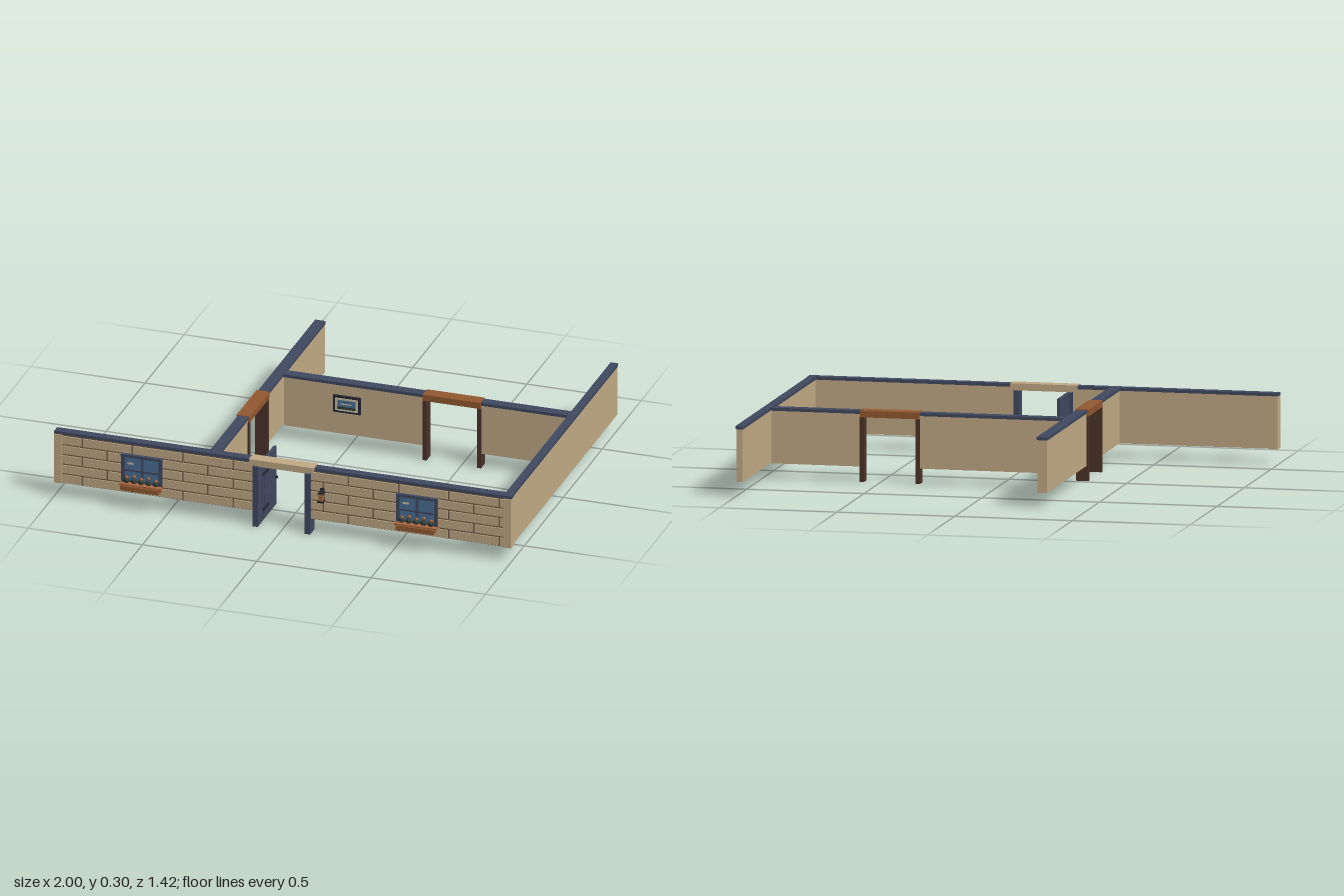
import * as THREE from 'three';

const mat = (name, color) => {
  const m = new THREE.MeshStandardMaterial({ color });
  m.name = name;
  return m;
};

export function createModel() {
  const root = new THREE.Group();
  root.name = 'houseWalls';
  const stone = mat('sandstone', 0xc2ab86);
  const mortar = mat('mortar', 0x75624c);
  const navy = mat('navyPaint', 0x414961);
  const wood = mat('warmWood', 0x93592f);
  const darkWood = mat('darkWood', 0x4c3329);
  const glass = mat('glass', 0x4a7196);
  const pale = mat('paleGlint', 0xc9c3a8);
  const iron = mat('iron', 0x25262e);
  const leaf = mat('foliage', 0x343d3a);
  const clay = mat('clay', 0xa8683f);

  // Box given by its limits on each axis
  const box = (name, m, x0, x1, y0, y1, z0, z1, parent = root) => {
    const mesh = new THREE.Mesh(new THREE.BoxGeometry(x1 - x0, y1 - y0, z1 - z0), m);
    mesh.position.set((x0 + x1) / 2, (y0 + y1) / 2, (z0 + z1) / 2);
    mesh.name = name;
    parent.add(mesh);
    return mesh;
  };
  const LOW = 0.064, TOP = 0.285, CAP = 0.298;

  // Plain wall with a painted coping
  const wall = (name, x0, x1, z0, z1) => {
    const g = new THREE.Group();
    g.name = name;
    root.add(g);
    box('wallBody', stone, x0 + 0.003, x1 - 0.003, LOW, TOP, z0 + 0.003, z1 - 0.003, g);
    box('coping', navy, x0, x1, TOP, CAP, z0, z1, g);
  };
  wall('rightSideWall', 0.965, 0.998, -0.712, 0.63);
  wall('innerWallBack', -0.328, -0.282, -0.712, 0.03);
  wall('innerWallFront', -0.328, -0.282, 0.272, 0.63);
  wall('crossWallLeft', -0.282, 0.338, -0.206, -0.162);
  wall('crossWallRight', 0.578, 0.965, -0.206, -0.162);
  wall('frontWallLeft', -1, -0.125, 0.628, 0.666);
  wall('frontWallRight', 0.12, 1, 0.628, 0.666);

  // Masonry facing: mortar plate with staggered raised blocks
  const masonry = (name, x0, x1, start) => {
    const g = new THREE.Group();
    g.name = name;
    root.add(g);
    box('mortarPlate', mortar, x0, x1, LOW + 0.001, TOP, 0.662, 0.6655, g);
    const rows = 5, h = (TOP - LOW) / rows, len = 0.22, gap = 0.004;
    for (let r = 0; r < rows; r++) {
      const shift = r % 2 ? len / 2 : 0;
      for (let x = start - len * 2 + shift; x < x1; x += len) {
        const a = Math.max(x0, x + gap), b = Math.min(x1, x + len - gap);
        if (b - a < 0.01) continue;
        const y = TOP - (r + 1) * h;
        box('stoneBlock', stone, a, b, y + gap, y + h - gap, 0.664, 0.67, g);
      }
    }
  };
  masonry('leftMasonry', -0.964, -0.126, -0.877);
  masonry('rightMasonry', 0.122, 0.964, 0.287);
  box('leftCornerPost', stone, -1, -0.966, LOW, TOP, 0.618, 0.672);
  box('rightCornerPost', stone, 0.966, 1, LOW, TOP, 0.626, 0.672);

  // Timber-framed inner openings
  const jambs = new THREE.Group();
  jambs.name = 'innerDoorFrames';
  root.add(jambs);
  box('crossHeader', wood, 0.332, 0.584, 0.272, 0.3, -0.212, -0.156, jambs);
  for (const x of [0.33, 0.568]) box('crossJamb', darkWood, x, x + 0.018, 0, 0.272, -0.209, -0.159, jambs);
  box('sideHeader', wood, -0.334, -0.277, 0.272, 0.3, 0.022, 0.278, jambs);
  for (const z of [0.025, 0.263]) box('sideJamb', darkWood, -0.333, -0.279, 0, 0.272, z, z + 0.018, jambs);

  // Front entrance: posts, lintel with bevelled ends
  for (const x of [-0.128, 0.101]) box('entrancePost', navy, x, x + 0.024, 0, 0.274, 0.627, 0.682);
  const lintelShape = new THREE.Shape([
    [-0.125, 0.272], [0.119, 0.272], [0.138, 0.286], [0.138, 0.301], [-0.146, 0.301], [-0.146, 0.286],
  ].map(p => new THREE.Vector2(...p)));
  const lintel = new THREE.Mesh(new THREE.ExtrudeGeometry(lintelShape, { depth: 0.052, bevelEnabled: false }), stone);
  lintel.position.z = 0.622;
  lintel.name = 'entranceLintel';
  root.add(lintel);

  // Door standing open into the room
  const door = new THREE.Group();
  door.name = 'openDoor';
  root.add(door);
  box('doorLeaf', navy, -0.113, -0.101, 0.005, 0.27, 0.45, 0.63, door);
  for (const [a, b] of [[0.03, 0.12], [0.145, 0.245]])
    for (const x of [-0.115, -0.101]) box('doorPanel', navy, x, x + 0.002, a, b, 0.468, 0.612, door);
  for (const y of [0.05, 0.21]) box('hinge', iron, -0.1, -0.096, y, y + 0.012, 0.56, 0.628, door);
  box('doorHandle', iron, -0.12, -0.092, 0.128, 0.138, 0.458, 0.466, door);

  // Windows with flower boxes
  const windowUnit = (cx) => {
    const g = new THREE.Group();
    g.name = 'windowUnit';
    g.position.set(cx, 0, 0);
    root.add(g);
    box('windowBacking', navy, -0.084, 0.084, 0.114, 0.238, 0.664, 0.673, g);
    for (const s of [-1, 1]) {
      box('stile', navy, s * 0.083 - 0.007, s * 0.083 + 0.007, 0.112, 0.243, 0.664, 0.68, g);
      for (const [a, b] of [[0.126, 0.168], [0.176, 0.23]])
        box('pane', glass, s * 0.04 - 0.033, s * 0.04 + 0.033, a, b, 0.67, 0.675, g);
    }
    box('mullion', navy, -0.005, 0.005, 0.114, 0.238, 0.664, 0.679, g);
    box('headRail', navy, -0.09, 0.09, 0.231, 0.243, 0.664, 0.681, g);
    box('midRail', navy, -0.08, 0.08, 0.168, 0.176, 0.664, 0.678, g);
    box('glint', pale, -0.062, -0.035, 0.199, 0.207, 0.674, 0.6765, g);
    box('flowerBox', wood, -0.084, 0.084, 0.09, 0.11, 0.666, 0.706, g);
    box('flowerBoxRim', clay, -0.092, 0.092, 0.108, 0.117, 0.666, 0.7, g);
    for (let i = 0; i < 5; i++) {
      const x = -0.064 + i * 0.032;
      const plant = new THREE.Mesh(new THREE.IcosahedronGeometry(0.014, 0), leaf);
      plant.position.set(x, 0.13, 0.686);
      plant.name = 'plant';
      const bloom = new THREE.Mesh(new THREE.IcosahedronGeometry(0.008, 0), clay);
      bloom.position.set(x + 0.004, 0.145 + (i % 2) * 0.007, 0.69);
      bloom.name = 'bloom';
      g.add(plant, bloom);
    }
  };
  windowUnit(-0.614);
  windowUnit(0.59);

  // Wall lantern beside the entrance
  const lamp = new THREE.Group();
  lamp.name = 'wallLantern';
  root.add(lamp);
  box('lampPlate', iron, 0.166, 0.184, 0.165, 0.215, 0.666, 0.674, lamp);
  box('lampArm', iron, 0.171, 0.179, 0.203, 0.21, 0.67, 0.692, lamp);
  box('lampGlass', clay, 0.166, 0.184, 0.166, 0.198, 0.677, 0.697, lamp);
  box('lampBase', iron, 0.162, 0.188, 0.159, 0.166, 0.674, 0.7, lamp);
  const hood = new THREE.Mesh(new THREE.ConeGeometry(0.02, 0.018, 4), iron);
  hood.rotation.y = Math.PI / 4;
  hood.position.set(0.175, 0.207, 0.687);
  hood.name = 'lampHood';
  lamp.add(hood);

  // Framed picture on the cross wall
  const art = new THREE.Group();
  art.name = 'framedPicture';
  root.add(art);
  box('pictureFrame', iron, -0.06, 0.06, 0.165, 0.24, -0.166, -0.154, art);
  box('pictureMat', pale, -0.05, 0.05, 0.174, 0.231, -0.156, -0.152, art);
  box('pictureSky', glass, -0.04, 0.04, 0.183, 0.223, -0.154, -0.1505, art);
  box('pictureLand', leaf, -0.04, 0.04, 0.183, 0.194, -0.153, -0.1495, art);
  box('pictureCloud', pale, -0.028, 0.022, 0.204, 0.209, -0.153, -0.1495, art);

  return root;
}
